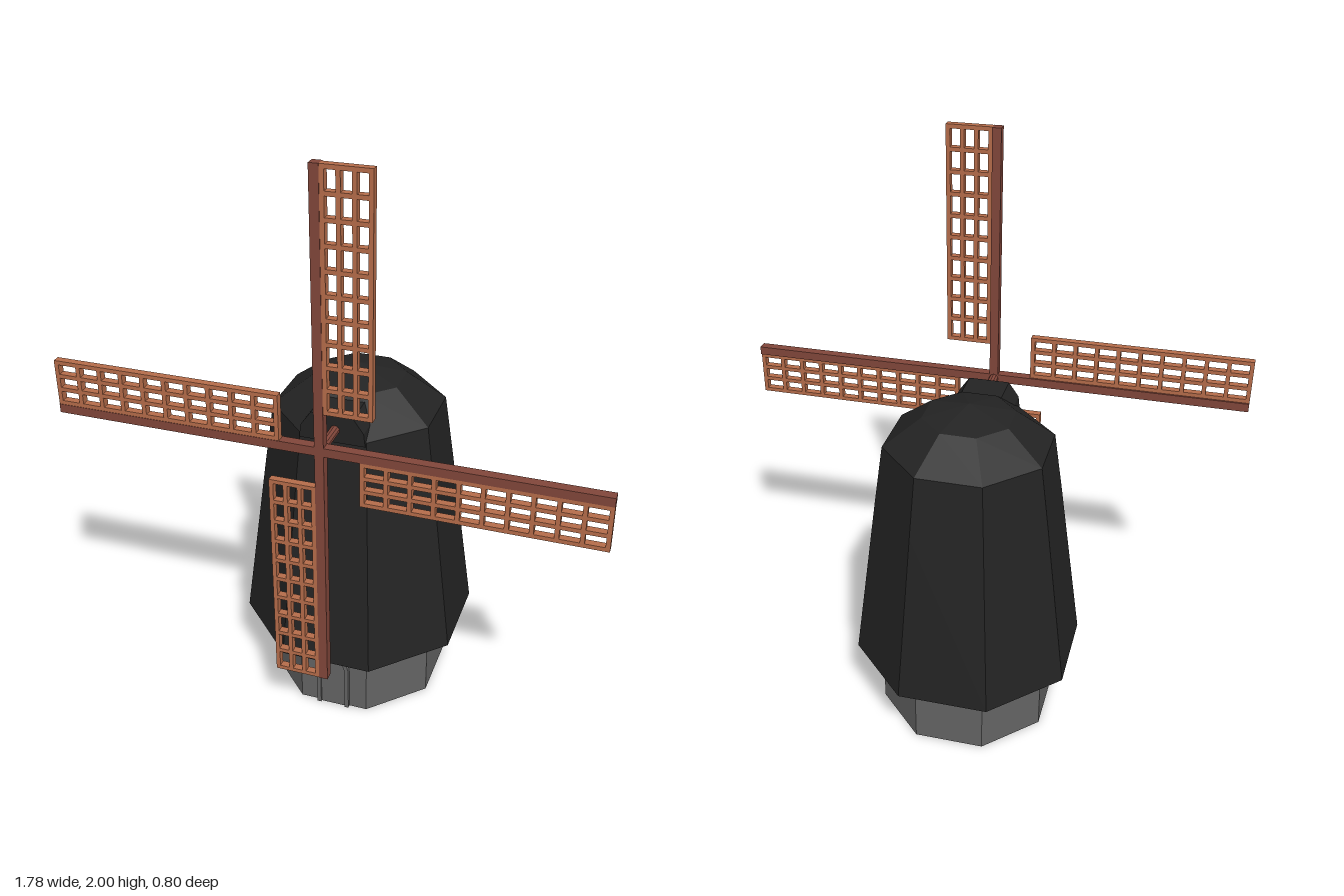
import * as THREE from 'three';

const mat = (name, color, extra = {}) => {
  const m = new THREE.MeshStandardMaterial({ color, ...extra });
  m.name = name;
  return m;
};

export function createModel() {
  const root = new THREE.Group();
  root.name = 'windmill';
  const faceted = { flatShading: true, side: THREE.DoubleSide };
  const thatch = mat('blackThatch', 0x232323, faceted);
  const stone = mat('greyStone', 0x636363, faceted);
  const beam = mat('darkWood', 0x81463a, { flatShading: true });
  const lath = mat('lightWood', 0xb56c4a, { flatShading: true });

  const add = (parent, name, geometry, material, x = 0, y = 0, z = 0) => {
    const mesh = new THREE.Mesh(geometry, material);
    mesh.name = name;
    mesh.position.set(x, y, z);
    parent.add(mesh);
    return mesh;
  };

  // Octagonal shell from [distance to the flat side, height] pairs
  const octagon = (profile) => new THREE.LatheGeometry(
    profile.map(([r, y]) => new THREE.Vector2(r / Math.cos(Math.PI / 8), y)), 8, Math.PI / 8);

  // Tower axis
  const cx = -0.01, cz = -0.024;
  add(root, 'stoneBase', octagon([[0.291, 0], [0.291, 0.25]]), stone, cx, 0, cz);
  add(root, 'towerBody', octagon([[0, 0.25], [0.374, 0.25], [0.296, 0.86], [0.267, 1.075]]), thatch, cx, 0, cz);
  add(root, 'capRoof', octagon([[0.267, 1.075], [0.145, 1.175], [0, 1.215]]), thatch, cx, 0, cz);

  // Arched door with a raised frame
  const arch = (path, r, top) => {
    path.moveTo(-r, 0);
    path.lineTo(r, 0);
    path.lineTo(r, top - r);
    path.absarc(0, top - r, r, 0, Math.PI, false);
    path.lineTo(-r, 0);
    return path;
  };
  const extrude = (shape, depth) =>
    new THREE.ExtrudeGeometry(shape, { depth, bevelEnabled: false, curveSegments: 8 });
  const frame = new THREE.Shape();
  frame.moveTo(-0.058, 0);
  frame.lineTo(-0.044, 0);
  frame.lineTo(-0.044, 0.158);
  frame.absarc(0, 0.158, 0.044, Math.PI, 0, true);
  frame.lineTo(0.044, 0);
  frame.lineTo(0.058, 0);
  frame.lineTo(0.058, 0.158);
  frame.absarc(0, 0.158, 0.058, 0, Math.PI, false);
  frame.lineTo(-0.058, 0);
  add(root, 'doorFrame', extrude(frame, 0.022), stone, cx, 0, 0.258);
  add(root, 'door', extrude(arch(new THREE.Shape(), 0.044, 0.202), 0.012), stone, cx, 0, 0.261);

  // Dormer that carries the sail shaft
  const dormer = new THREE.Shape([
    [-0.11, 1.065], [0.11, 1.065], [0.105, 1.11], [0.07, 1.16], [-0.07, 1.16], [-0.105, 1.11],
  ].map(([x, y]) => new THREE.Vector2(x, y)));
  add(root, 'shaftDormer', extrude(dormer, 0.25), thatch, cx, 0, 0.003);

  // Rotor: shaft, two crossing spars and four lattice sails
  const rotor = new THREE.Group();
  rotor.name = 'rotor';
  rotor.position.set(0, 1.11, 0);
  root.add(rotor);
  add(rotor, 'shaft', new THREE.CylinderGeometry(0.016, 0.016, 0.15, 10).rotateX(Math.PI / 2), beam, 0, 0, 0.315);

  // Lattice panel: 3 by 10 openings
  const x0 = 0.015, x1 = 0.17, y0 = 0.13, y1 = 0.89, bar = 0.014;
  const rect = (path, ax, ay, bx, by) => {
    path.moveTo(ax, ay);
    path.lineTo(bx, ay);
    path.lineTo(bx, by);
    path.lineTo(ax, by);
    path.closePath();
    return path;
  };
  const panel = rect(new THREE.Shape(), x0, y0, x1, y1);
  const dx = (x1 - x0 - bar) / 3, dy = (y1 - y0 - bar) / 10;
  for (let i = 0; i < 3; i++) {
    for (let j = 0; j < 10; j++) {
      const ax = x0 + bar + i * dx, ay = y0 + bar + j * dy;
      panel.holes.push(rect(new THREE.Path(), ax, ay, ax + dx - bar, ay + dy - bar));
    }
  }
  const lattice = extrude(panel, 0.025);
  const spar = new THREE.BoxGeometry(0.03, 0.89, 0.033).translate(0, 0.445, 0);
  for (let k = 0; k < 4; k++) {
    const sail = new THREE.Group();
    sail.name = 'sail' + (k + 1);
    sail.rotation.z = -k * Math.PI / 2;
    add(sail, 'spar', spar, beam, 0, 0, 0.381);
    add(sail, 'lattice', lattice, lath, 0, 0, 0.371);
    rotor.add(sail);
  }
  return root;
}
